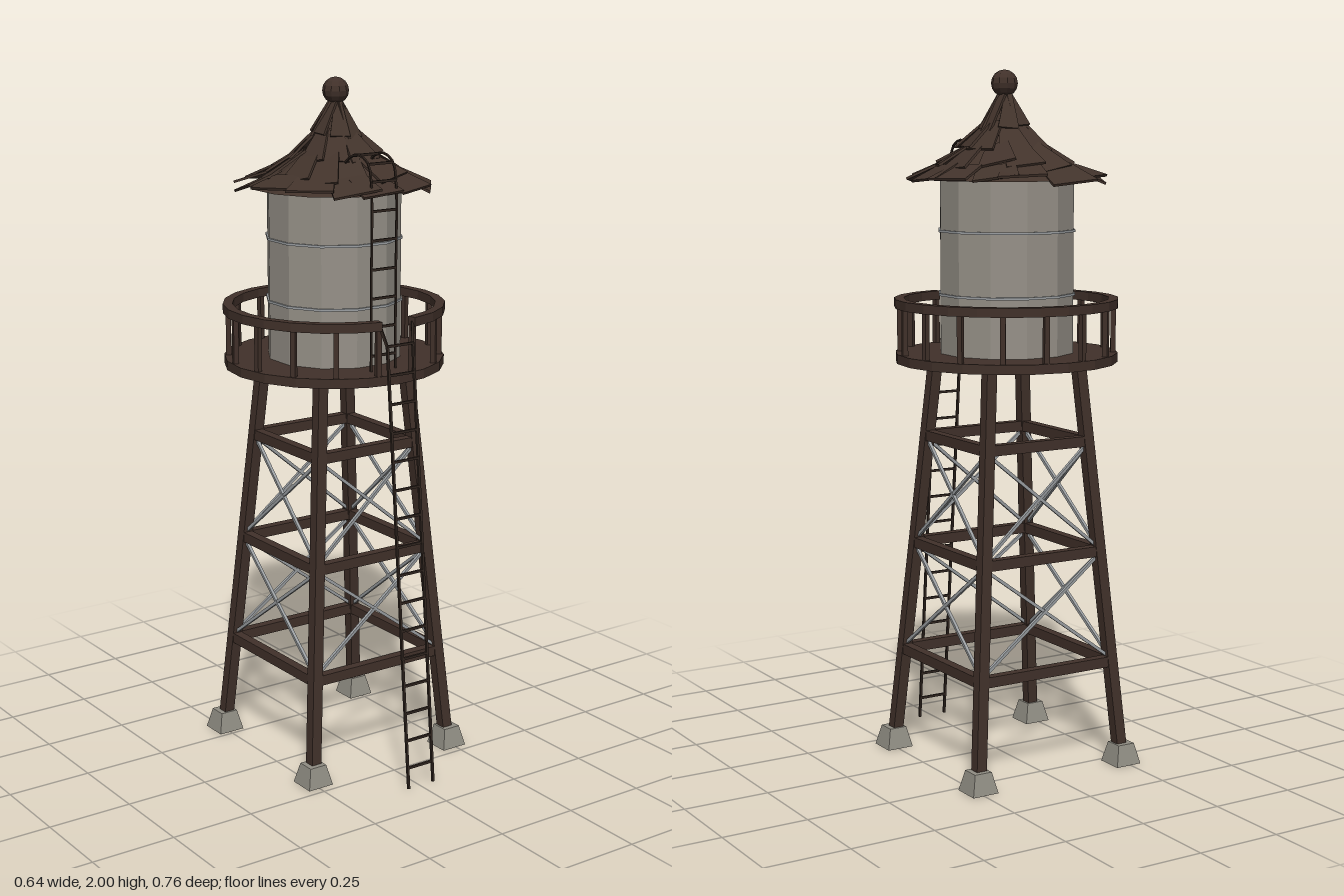
import * as THREE from 'three';

const mat = (name, color, extra = {}) => {
  const m = new THREE.MeshStandardMaterial({ color, flatShading: true, ...extra });
  m.name = name;
  return m;
};

export function createModel() {
  const wood = mat('dark wood', 0x41312a);
  const shingleWood = mat('shingle wood', 0x42332b, { side: THREE.DoubleSide });
  const tankGrey = mat('tank grey', 0x969188);
  const stone = mat('footing stone', 0x918e84);
  const steel = mat('brace steel', 0x9a9ea1);
  const iron = mat('ladder iron', 0x30251f);

  const model = new THREE.Group();
  model.name = 'waterTower';
  const tower = new THREE.Group();
  tower.name = 'tower';
  tower.position.z = -0.059;
  model.add(tower);

  const V = (x, y, z) => new THREE.Vector3(x, y, z);
  const UP = V(0, 1, 0);
  const add = (name, geo, material, parent = tower) => {
    const m = new THREE.Mesh(geo, material);
    m.name = name;
    parent.add(m);
    return m;
  };
  // Straight bar between two points, in the parent's own frame
  const bar = (name, a, b, w, material, parent, h = w) => {
    const m = add(name, new THREE.BoxGeometry(w, h, a.distanceTo(b)), material, parent);
    m.position.copy(a).add(b).multiplyScalar(0.5);
    m.quaternion.setFromRotationMatrix(new THREE.Matrix4().lookAt(a, b, UP));
    return m;
  };
  let seed = 11;
  const rand = () => {
    seed = (seed * 16807) % 2147483647;
    return seed / 2147483647 - 0.5;
  };

  // Leaning legs on tapered footings
  const legX = (y) => 0.244 - 0.081 * y;
  for (const sx of [-1, 1]) for (const sz of [-1, 1]) {
    const foot = add('footing', new THREE.CylinderGeometry(0.038, 0.058, 0.06, 4), stone);
    foot.geometry.rotateY(Math.PI / 4);
    foot.position.set(sx * 0.244, 0.03, sz * 0.244);
    const leg = new THREE.BoxGeometry(0.032, 1.14, 0.032).translate(0, 0.61, 0);
    const p = leg.attributes.position;
    for (let i = 0; i < p.count; i++) {
      const d = legX(p.getY(i));
      p.setX(i, p.getX(i) + sx * d);
      p.setZ(i, p.getZ(i) + sz * d);
    }
    add('leg', leg, wood);
  }

  // Cross beams and steel X braces, one set per side
  const levels = [0.305, 0.63, 0.95];
  for (let s = 0; s < 4; s++) {
    const side = new THREE.Group();
    side.name = 'frameSide';
    side.rotation.y = s * Math.PI / 2;
    tower.add(side);
    const corner = (sx, y) => V(sx * legX(y), y, legX(y));
    levels.forEach((y, i) => {
      bar('crossBeam', corner(-1, y), corner(1, y), 0.028, wood, side, 0.03);
      if (i === 2) return;
      for (const sx of [-1, 1])
        bar('brace', corner(sx, y + 0.01), corner(-sx, levels[i + 1] - 0.01), 0.009, steel, side);
    });
  }

  // Round platform
  add('platform', new THREE.CylinderGeometry(0.32, 0.32, 0.027, 20), wood).position.y = 1.188;

  // Handrail with a gap at the front
  const from = -80 * Math.PI / 180, to = 260 * Math.PI / 180;
  const arc = new THREE.Shape();
  arc.absarc(0, 0, 0.322, from, to, false);
  arc.absarc(0, 0, 0.294, to, from, true);
  arc.closePath();
  const railGeo = new THREE.ExtrudeGeometry(arc, { depth: 0.026, bevelEnabled: false, curveSegments: 11 });
  add('handrail', railGeo.rotateX(-Math.PI / 2), wood).position.y = 1.331;
  for (let i = 0; i <= 15; i++) {
    const a = (11 + i * 338 / 15) * Math.PI / 180;
    const post = add('railPost', new THREE.BoxGeometry(0.015, 0.14, 0.015), wood);
    post.position.set(Math.sin(a) * 0.306, 1.265, Math.cos(a) * 0.306);
    post.rotation.y = a;
  }

  // Twelve sided tank with hoops
  const drum = (name, r, h, y, material) => {
    const m = add(name, new THREE.CylinderGeometry(r, r, h, 12), material);
    m.position.y = y;
    m.rotation.y = Math.PI / 12;
  };
  drum('tank', 0.195, 0.52, 1.46, tankGrey);
  for (const y of [1.37, 1.55]) drum('hoop', 0.2, 0.007, y, steel);

  // Flared roof core, set slightly off centre
  const roof = new THREE.Group();
  roof.name = 'roof';
  roof.position.x = 0.007;
  tower.add(roof);
  const profile = [[0.012, 1.935], [0.04, 1.86], [0.09, 1.795], [0.17, 1.735], [0.25, 1.698]];
  const roofY = (r) => {
    let i = 0;
    while (i < profile.length - 2 && r > profile[i + 1][0]) i++;
    const [r0, y0] = profile[i], [r1, y1] = profile[i + 1];
    return y0 + (y1 - y0) * (r - r0) / (r1 - r0);
  };
  const outline = [...profile, [0.19, 1.71]].reverse().map(([r, y]) => new THREE.Vector2(r, y - 0.004));
  add('roofCore', new THREE.LatheGeometry(outline, 14), shingleWood, roof);

  // Overlapping crooked shingles in rows
  const rows = [[0.175, 0.262, 13], [0.095, 0.2, 12], [0.045, 0.125, 9], [0.014, 0.065, 8]];
  rows.forEach(([rTop, rLow, n], row) => {
    for (let i = 0; i < n; i++) {
      const a = (i + row * 0.5 + rand() * 0.4) / n * Math.PI * 2;
      const low = rLow + rand() * 0.035 * rLow / 0.25;
      const start = V(0, roofY(rTop) + 0.003, rTop);
      const end = V(0, roofY(low) + 0.008 + rand() * 0.018, low);
      const len = start.distanceTo(end);
      const geo = new THREE.BoxGeometry(2 * Math.PI * low / n * 1.1, 0.007, len);
      const p = geo.attributes.position;
      for (let k = 0; k < p.count; k++)
        if (p.getZ(k) < 0) p.setX(k, p.getX(k) * Math.max(0.35, rTop / low * 1.15));
      geo.rotateZ(0.1 + rand() * 0.2).rotateY(rand() * 0.4);
      geo.rotateX(Math.atan2(start.y - end.y, end.z - start.z));
      geo.translate(0, (start.y + end.y) / 2, (start.z + end.z) / 2);
      add('shingle', geo.rotateY(a), shingleWood, roof);
    }
  });

  // Finial ball
  add('finialNeck', new THREE.CylinderGeometry(0.014, 0.022, 0.05, 8), wood, roof).position.y = 1.92;
  add('finialBall', new THREE.SphereGeometry(0.038, 10, 8), wood, roof).position.y = 1.962;

  // Lower ladder leaning on the platform
  const lower = new THREE.Group();
  lower.name = 'lowerLadder';
  model.add(lower);
  const lowZ = (y) => 0.38 - 0.09 * y;
  for (const s of [-1, 1]) {
    bar('ladderRail', V(s * 0.044, 0.003, lowZ(0)), V(s * 0.044, 1.29, lowZ(1.29)), 0.007, iron, lower);
    bar('ladderHook', V(s * 0.044, 1.285, lowZ(1.285)), V(s * 0.056, 1.345, 0.245), 0.007, iron, lower);
  }
  for (let i = 0; i < 16; i++) {
    const y = 0.065 + i * 0.0815;
    bar('rung', V(-0.044, y, lowZ(y)), V(0.044, y, lowZ(y)), 0.007, iron, lower);
  }

  // Upper ladder curving over the roof edge
  const upper = new THREE.Group();
  upper.name = 'upperLadder';
  model.add(upper);
  const bend = [[1.2, 0.185], [1.45, 0.185], [1.72, 0.184], [1.78, 0.17], [1.801, 0.13], [1.796, 0.09], [1.775, 0.06]];
  for (const s of [-1, 1]) {
    const path = new THREE.CatmullRomCurve3(bend.map(([y, z]) => V(s * 0.042, y, z)));
    add('ladderRail', new THREE.TubeGeometry(path, 30, 0.004, 5), iron, upper);
  }
  const rungs = [[1.798, 0.1], [1.781, 0.168]];
  for (let i = 0; i < 7; i++) rungs.push([1.245 + i * 0.0815, 0.185]);
  for (const [y, z] of rungs) bar('rung', V(-0.042, y, z), V(0.042, y, z), 0.007, iron, upper);

  return model;
}
